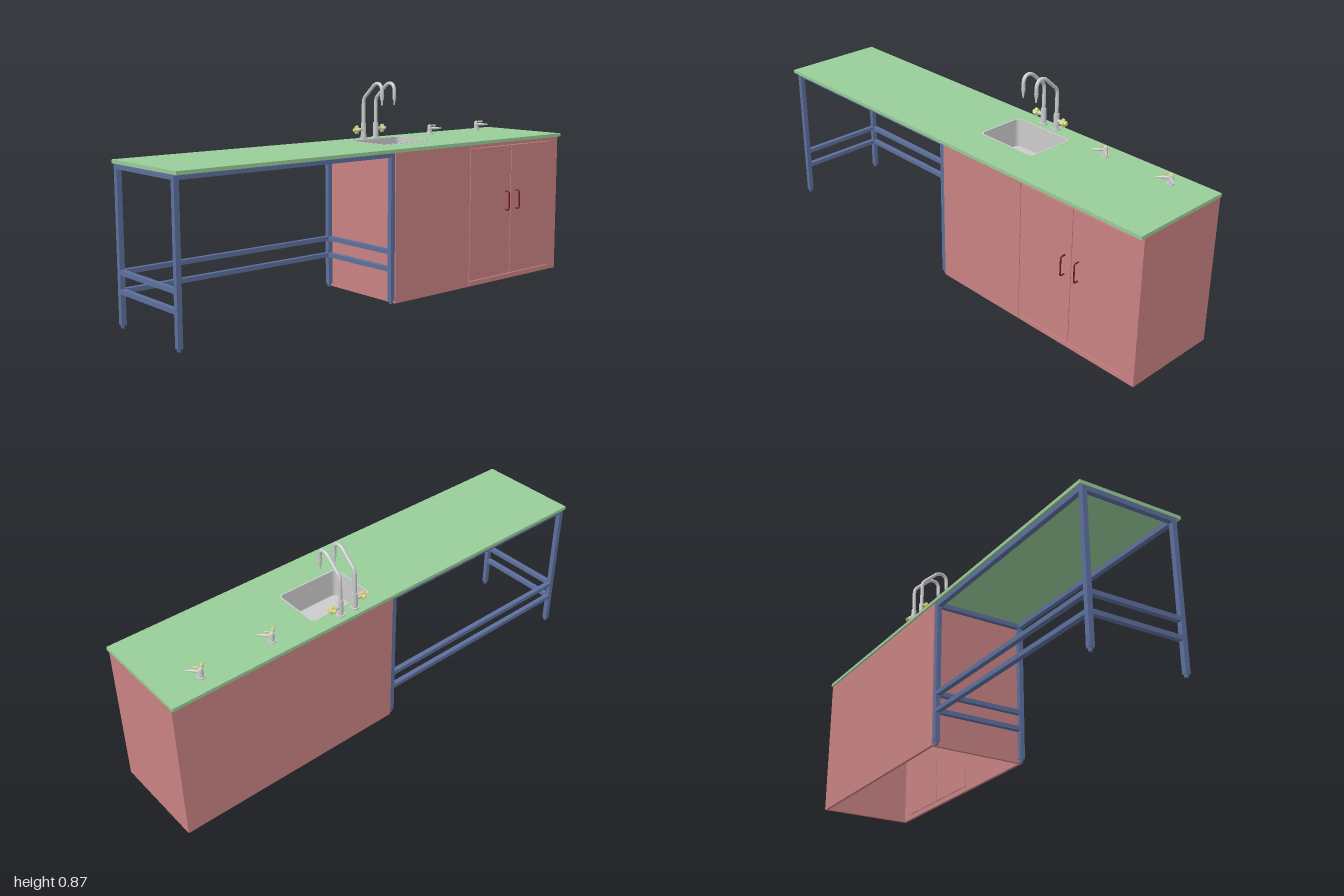
import * as THREE from 'three';

const mat = (color) => new THREE.MeshStandardMaterial({ color });
const GREEN = mat(0x98cc98), RED = mat(0xc88282), BLUE = mat(0x5c6f9c);
const DARK = mat(0x701515), YELLOW = mat(0xd8d880), GREY = mat(0xcccccc);

function add(parent, name, geometry, material, x = 0, y = 0, z = 0) {
  const mesh = new THREE.Mesh(geometry, material);
  mesh.name = name;
  mesh.position.set(x, y, z);
  parent.add(mesh);
  return mesh;
}

// Box given by its extents on each axis
function slab(parent, name, material, [x0, x1], [y0, y1], [z0, z1]) {
  return add(parent, name, new THREE.BoxGeometry(x1 - x0, y1 - y0, z1 - z0), material,
    (x0 + x1) / 2, (y0 + y1) / 2, (z0 + z1) / 2);
}

function group(parent, name, x = 0, y = 0, z = 0) {
  const g = new THREE.Group();
  g.name = name;
  g.position.set(x, y, z);
  parent.add(g);
  return g;
}

function roundedRect(T, x0, x1, y0, y1, r) {
  const s = new T();
  s.moveTo(x0 + r, y0);
  s.absarc(x1 - r, y0 + r, r, -Math.PI / 2, 0);
  s.absarc(x1 - r, y1 - r, r, 0, Math.PI / 2);
  s.absarc(x0 + r, y1 - r, r, Math.PI / 2, Math.PI);
  s.absarc(x0 + r, y0 + r, r, Math.PI, Math.PI * 1.5);
  return s;
}

// Horizontal plate from a plan shape (shape y = -z)
function plate(shape, height) {
  const g = new THREE.ExtrudeGeometry(shape, { depth: height, bevelEnabled: false, curveSegments: 8 });
  return g.rotateX(-Math.PI / 2);
}

// Round part from [radius, y] steps, each step keeping a sharp edge
function turned(parent, name, steps, material, sides = 20) {
  const g = group(parent, name);
  for (let i = 0; i < steps.length - 1; i++) {
    const [r0, y0] = steps[i], [r1, y1] = steps[i + 1];
    if (y1 > y0) add(g, name, new THREE.CylinderGeometry(r1, r0, y1 - y0, sides), material, 0, (y0 + y1) / 2, 0);
  }
  return g;
}

function buildTop(model) {
  const shape = new THREE.Shape();
  shape.moveTo(-1, -0.215).lineTo(1, -0.215).lineTo(1, 0.222).lineTo(-1, 0.222).closePath();
  shape.holes.push(roundedRect(THREE.Path, 0.063, 0.342, -0.058, 0.15, 0.02));
  add(model, 'countertop', plate(shape, 0.014), GREEN, 0, 0.607, 0);

  // Sink bowl: wall ring, floor and drain
  const sink = group(model, 'sink');
  const wall = roundedRect(THREE.Shape, 0.06, 0.345, -0.061, 0.153, 0.022);
  wall.holes.push(roundedRect(THREE.Path, 0.066, 0.339, -0.055, 0.147, 0.018));
  add(sink, 'sinkWall', plate(wall, 0.122), GREY, 0, 0.5, 0);
  const floor = roundedRect(THREE.Shape, 0.062, 0.343, -0.059, 0.151, 0.02);
  add(sink, 'sinkFloor', plate(floor, 0.006), GREY, 0, 0.498, 0);
  add(sink, 'drain', new THREE.TorusGeometry(0.018, 0.003, 8, 24).rotateX(Math.PI / 2), GREY, 0.255, 0.504, -0.08);
}

function buildCabinet(model) {
  const cab = group(model, 'cabinet');
  const H = [0, 0.607], T = 0.012, F = [0.198 - T, 0.198], g = 0.0015;
  slab(cab, 'innerSide', RED, [0, T], H, [-0.215, 0.198 - T]);
  slab(cab, 'outerSide', RED, [1 - T, 1], H, [-0.215, 0.198 - T]);
  slab(cab, 'back', RED, [T, 1 - T], H, [-0.215, -0.215 + T]);
  // Front: fixed panel, frame around the opening, two doors
  slab(cab, 'frontPanel', RED, [0, 0.428 - g], H, F);
  slab(cab, 'frontStile', RED, [0.945, 1], H, F);
  slab(cab, 'lowerRail', RED, [0.428 + g, 0.945], [0, 0.022 - g], F);
  slab(cab, 'upperRail', RED, [0.428 + g, 0.945], [0.59 + g, 0.607], F);
  for (const [x0, x1] of [[0.428 + g, 0.686 - g], [0.686 + g, 0.945]])
    slab(cab, 'door', RED, [x0, x1], [0.022 + g, 0.59 - g], F);

  // Bow handles
  for (const x of [0.654, 0.72]) {
    const path = new THREE.CurvePath();
    const p = (y, z) => new THREE.Vector3(x, y, z);
    path.add(new THREE.LineCurve3(p(0.309, 0.196), p(0.309, 0.211)));
    path.add(new THREE.QuadraticBezierCurve3(p(0.309, 0.211), p(0.309, 0.219), p(0.317, 0.219)));
    path.add(new THREE.LineCurve3(p(0.317, 0.219), p(0.381, 0.219)));
    path.add(new THREE.QuadraticBezierCurve3(p(0.381, 0.219), p(0.389, 0.219), p(0.389, 0.211)));
    path.add(new THREE.LineCurve3(p(0.389, 0.211), p(0.389, 0.196)));
    add(cab, 'handle', new THREE.TubeGeometry(path, 60, 0.003, 10), DARK);
  }
}

function buildFrame(model) {
  const frame = group(model, 'tableFrame');
  const W = 0.02, xs = [-0.998, -0.022], zs = [-0.212, 0.176];
  for (const x of xs) {
    for (const z of zs) {
      slab(frame, 'leg', BLUE, [x, x + W], [0.012, 0.607], [z, z + W]);
      add(frame, 'foot', new THREE.CylinderGeometry(0.009, 0.007, 0.012, 16), BLUE, x + W / 2, 0.006, z + W / 2);
    }
  }
  const between = (a) => [a[0] + W, a[1]];
  // Top ring
  for (const z of zs) slab(frame, 'topLongRail', BLUE, between(xs), [0.588, 0.607], [z, z + W]);
  for (const x of xs) slab(frame, 'topSideRail', BLUE, [x, x + W], [0.588, 0.607], between(zs));
  // Two lower levels along the back and both ends
  for (const y of [0.13, 0.201]) {
    slab(frame, 'lowerLongRail', BLUE, between(xs), [y, y + 0.018], [zs[0], zs[0] + W]);
    for (const x of xs) slab(frame, 'lowerSideRail', BLUE, [x, x + W], [y, y + 0.018], between(zs));
  }
}

// Four-lobed valve knob facing along z
function crossKnob(size, depth) {
  const s = new THREE.Shape();
  for (let i = 0; i < 48; i++) {
    const a = (i / 48) * Math.PI * 2;
    const r = size * (0.8 + 0.2 * Math.cos(4 * a));
    s[i ? 'lineTo' : 'moveTo'](r * Math.cos(a), r * Math.sin(a));
  }
  const b = depth * 0.2;
  return new THREE.ExtrudeGeometry(s, { depth: depth - 2 * b, bevelThickness: b, bevelSize: b, bevelOffset: -b, bevelSegments: 2 })
    .translate(0, 0, -depth / 2 + b);
}

function buildFaucet(model, x, side) {
  const f = group(model, 'faucet', x, 0.621, -0.185);
  turned(f, 'faucetBody', [[0.018, 0], [0.018, 0.006], [0.012, 0.006], [0.011, 0.068]], GREY);
  // Gooseneck
  const p = (y, z) => new THREE.Vector3(0, y - 0.621, z + 0.185);
  const path = new THREE.CurvePath();
  path.add(new THREE.LineCurve3(p(0.68, -0.185), p(0.772, -0.185)));
  path.add(new THREE.QuadraticBezierCurve3(p(0.772, -0.185), p(0.791, -0.185), p(0.803, -0.172)));
  path.add(new THREE.LineCurve3(p(0.803, -0.172), p(0.846, -0.124)));
  path.add(new THREE.CubicBezierCurve3(p(0.846, -0.124), p(0.868, -0.1), p(0.862, -0.068), p(0.825, -0.068)));
  path.add(new THREE.LineCurve3(p(0.825, -0.068), p(0.802, -0.068)));
  add(f, 'spout', new THREE.TubeGeometry(path, 90, 0.0075, 16), GREY);
  const nozzle = turned(f, 'nozzle', [[0.0035, 0], [0.0045, 0.022], [0.007, 0.022], [0.0085, 0.035]], GREY, 16);
  nozzle.position.set(0, 0.148, 0.117);
  // Side valve
  add(f, 'valveStem', new THREE.CylinderGeometry(0.007, 0.007, 0.03, 16).rotateZ(Math.PI / 2), GREY, side * 0.02, 0.04, 0);
  add(f, 'valveKnob', crossKnob(0.018, 0.016).rotateY(Math.PI / 2), YELLOW, side * 0.038, 0.04, 0);
  add(f, 'knobCap', new THREE.CylinderGeometry(0.007, 0.009, 0.012, 16).rotateZ(-side * Math.PI / 2), YELLOW, side * 0.049, 0.04, 0);
}

function buildGasTap(model, x) {
  const tap = group(model, 'gasTap', x, 0.621, -0.146);
  turned(tap, 'tapBody', [[0.016, 0], [0.016, 0.005], [0.011, 0.005], [0.009, 0.038], [0.006, 0.042]], GREY);
  // Two outlets splayed toward the front
  for (const side of [-1, 1]) {
    const arm = group(tap, 'outlet', 0, 0.027, 0);
    arm.rotation.y = side * Math.PI / 4;
    add(arm, 'outletPipe', new THREE.CylinderGeometry(0.005, 0.0065, 0.032, 14).rotateX(Math.PI / 2), GREY, 0, 0, 0.016);
    add(arm, 'hoseTip', new THREE.CylinderGeometry(0.002, 0.005, 0.022, 14).rotateX(Math.PI / 2), GREY, 0, 0, 0.043);
    add(arm, 'tapStem', new THREE.CylinderGeometry(0.003, 0.003, 0.012, 10), GREY, 0, 0.008, 0.018);
    add(arm, 'tapKnob', new THREE.BoxGeometry(0.007, 0.006, 0.02), YELLOW, 0, 0.014, 0.018);
  }
}

export function createModel() {
  const model = new THREE.Group();
  model.name = 'labBench';
  buildTop(model);
  buildCabinet(model);
  buildFrame(model);
  buildFaucet(model, 0.168, -1);
  buildFaucet(model, 0.238, 1);
  for (const x of [0.527, 0.833]) buildGasTap(model, x);
  return model;
}
